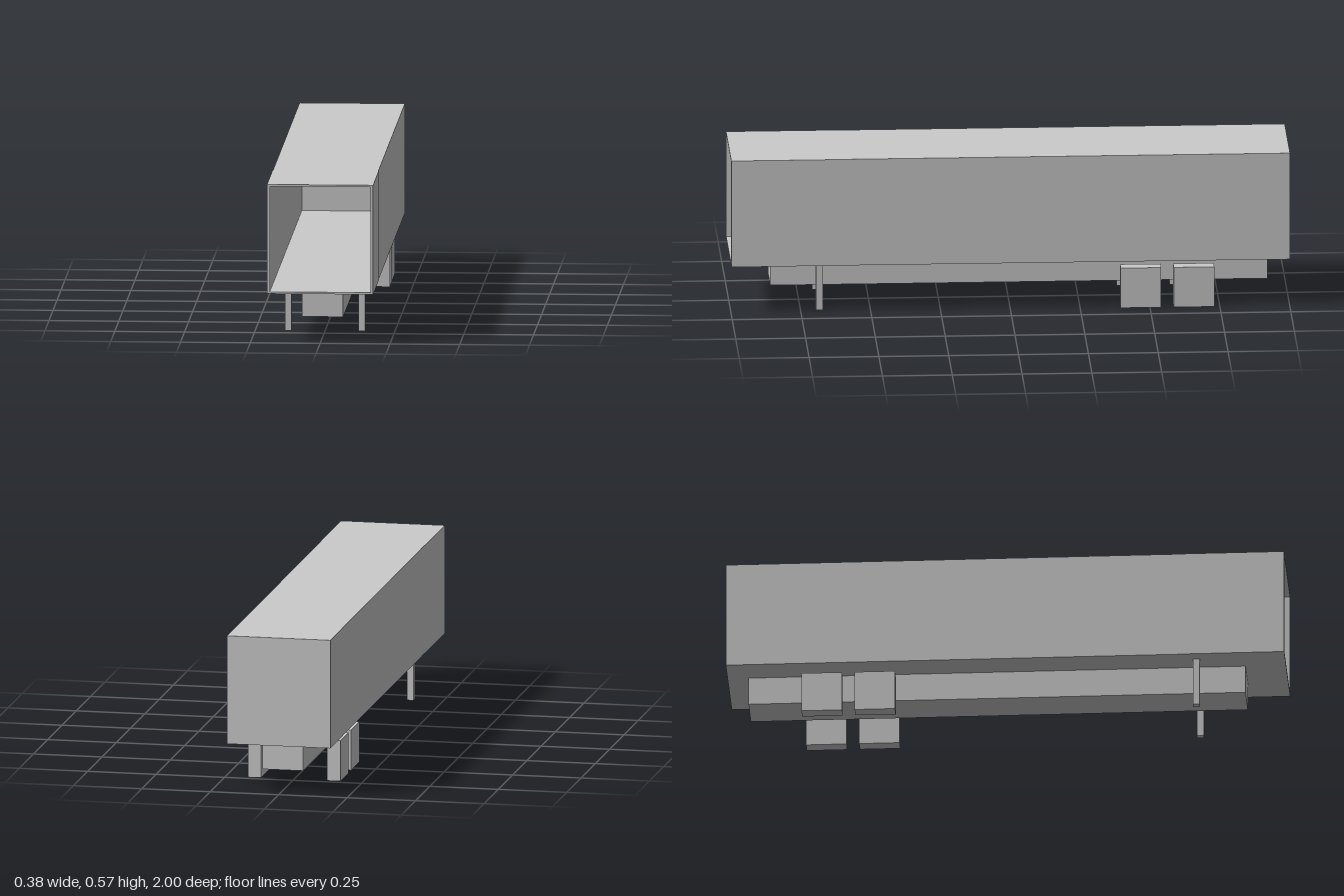
import * as THREE from 'three';

const material = new THREE.MeshStandardMaterial({ color: 0xcccccc, flatShading: true });

// Box given by its minimum and maximum on each axis
function box(name, [x0, x1], [y0, y1], [z0, z1]) {
  const mesh = new THREE.Mesh(new THREE.BoxGeometry(x1 - x0, y1 - y0, z1 - z0), material);
  mesh.name = name;
  mesh.position.set((x0 + x1) / 2, (y0 + y1) / 2, (z0 + z1) / 2);
  return mesh;
}

// Rectangle outline used for the hollow body section
function rect(path, w, y0, y1) {
  path.moveTo(-w, y0);
  path.lineTo(w, y0);
  path.lineTo(w, y1);
  path.lineTo(-w, y1);
  path.closePath();
  return path;
}

// Open-ended rectangular shell running from z0 to z1
function shell(name, halfWidth, z0, z1) {
  const shape = rect(new THREE.Shape(), halfWidth, 0.178, 0.573);
  shape.holes.push(rect(new THREE.Path(), 0.18, 0.185, 0.566));
  const geometry = new THREE.ExtrudeGeometry(shape, { depth: z1 - z0, bevelEnabled: false });
  const mesh = new THREE.Mesh(geometry, material);
  mesh.name = name;
  mesh.position.z = z0;
  return mesh;
}

export function createModel() {
  const model = new THREE.Group();
  model.name = 'trailer';

  // Cargo body: open at the front, closed at the back, front section a touch wider
  model.add(shell('frontBodySection', 0.19, 0.646, 1));
  model.add(shell('rearBodySection', 0.1885, -0.99, 0.646));
  model.add(box('rearWall', [-0.1885, 0.1885], [0.178, 0.573], [-1, -0.99]));

  // Chassis beam under the floor
  model.add(box('chassisBeam', [-0.074, 0.074], [0.075, 0.178], [-0.925, 0.855]));

  // Landing legs and block wheels, mirrored
  for (const side of [1, -1]) {
    const name = side > 0 ? 'left' : 'right';
    const span = (a, b) => (side > 0 ? [a, b] : [-b, -a]);
    model.add(box(name + 'LandingLeg', span(0.12, 0.144), [0, 0.178], [0.67, 0.695]));
    model.add(box(name + 'FrontWheel', span(0.12, 0.169), [0, 0.148], [-0.54, -0.395]));
    model.add(box(name + 'RearWheel', span(0.12, 0.169), [0, 0.148], [-0.73, -0.585]));
  }
  return model;
}
